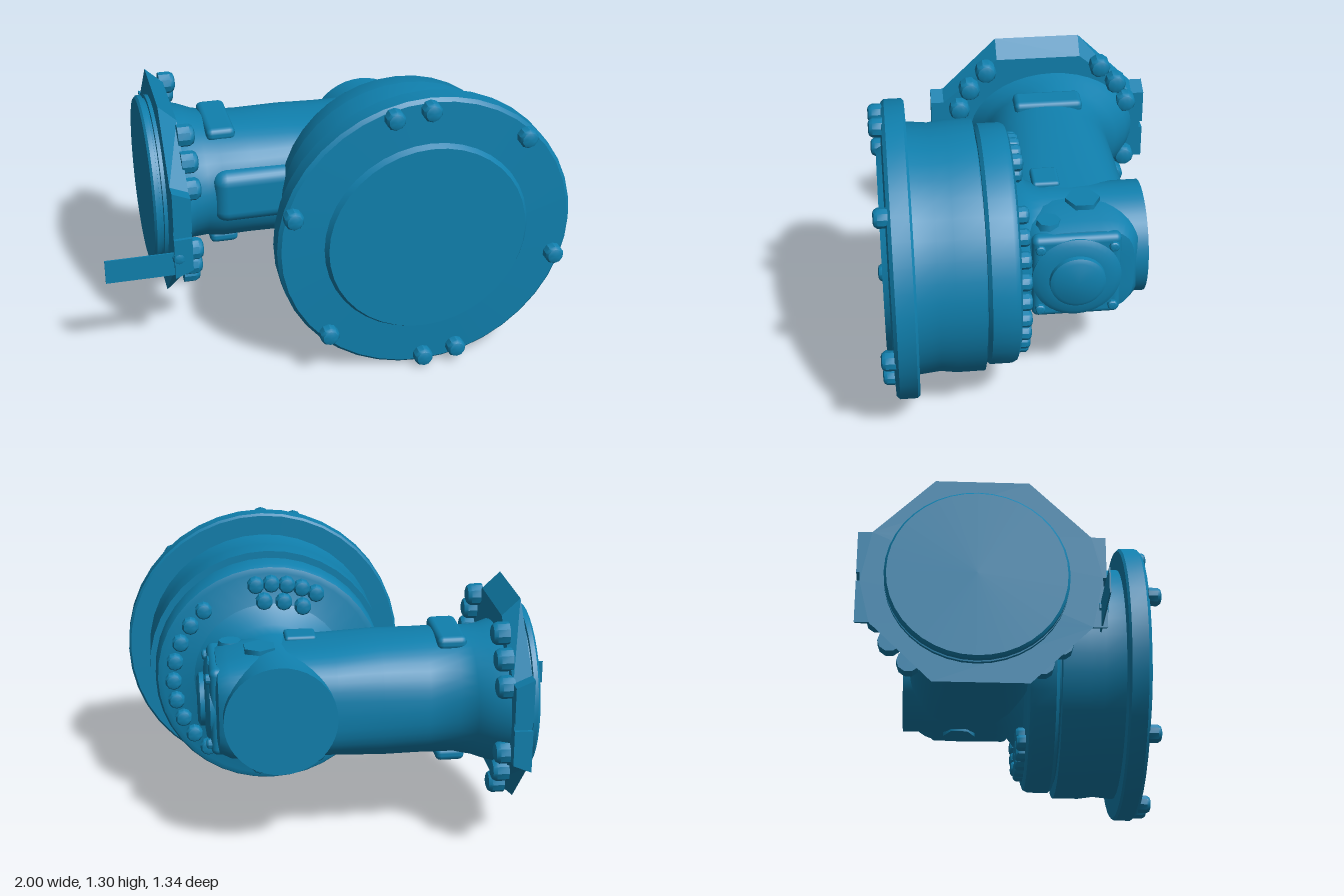
import * as THREE from 'three';
import { toCreasedNormals } from 'three/addons/utils/BufferGeometryUtils.js';
import { RoundedBoxGeometry } from 'three/addons/geometries/RoundedBoxGeometry.js';

const mat = new THREE.MeshStandardMaterial({ color: 0x1080ae });
const CX = 0.35, CY = 0.655, CZ = -0.17; // hub axis runs along z, tube axis along x

export function createModel() {
  const model = new THREE.Group();

  const add = (name, geo, x = 0, y = 0, z = 0, parent = model) => {
    const mesh = new THREE.Mesh(geo, mat);
    mesh.name = name;
    mesh.position.set(x, y, z);
    parent.add(mesh);
    return mesh;
  };
  const group = (name) => {
    const g = new THREE.Group();
    g.name = name;
    model.add(g);
    return g;
  };

  // Turned part from [radius, position] pairs, positions ascending along the axis
  const turned = (profile, axis, segments = 40) => {
    let geo = new THREE.LatheGeometry(profile.map(([r, t]) => new THREE.Vector2(r, t)), segments);
    geo = toCreasedNormals(geo, 0.6);
    if (axis === 'z') geo.rotateX(Math.PI / 2);
    if (axis === 'x') geo.rotateZ(-Math.PI / 2);
    return geo;
  };
  const boltGeo = (r, h, axis) =>
    turned([[0, 0], [r, 0], [r, h * 0.7], [r * 0.8, h * 0.92], [r * 0.5, h], [0, h]], axis, 10);

  // Hub: back ring, groove, drum and wide front flange
  add('hubBackRing', turned([
    [0, 0.06], [0.33, 0.06], [0.36, 0.08], [0.49, 0.08], [0.515, 0.09], [0.525, 0.11],
    [0.525, 0.205], [0.51, 0.22], [0.48, 0.22], [0.48, 0.235], [0, 0.235],
  ], 'z'), CX, CY);
  add('hubDrum', turned([
    [0, 0.23], [0.55, 0.23], [0.55, 0.35], [0.54, 0.42], [0.55, 0.52], [0, 0.52],
  ], 'z'), CX, CY);
  add('frontFlange', turned([
    [0, 0.515], [0.64, 0.515], [0.65, 0.525], [0.65, 0.6], [0.635, 0.615], [0.45, 0.622],
    [0.435, 0.645], [0, 0.645],
  ], 'z'), CX, CY);

  // Bolts on the front flange
  const frontBolts = group('frontFlangeBolts');
  const frontBolt = boltGeo(0.042, 0.06, 'z');
  for (const [x, y] of [[0.19, 1.24], [0.345, 1.26], [0.77, 1.09], [0.93, 0.5],
    [0.5, 0.075], [0.35, 0.05], [-0.08, 0.23], [-0.235, 0.83]]) {
    add('frontFlangeBolt', frontBolt, x, y, 0.61, frontBolts);
  }

  // Bolts on the back of the ring: one long arc and two double rows
  const ringBolts = group('ringBolts');
  const ringBolt = boltGeo(0.038, 0.05, 'z').rotateY(Math.PI);
  const arc = (radius, from, to, count) => {
    for (let i = 0; i < count; i++) {
      const a = THREE.MathUtils.degToRad(from + ((to - from) * i) / (count - 1));
      add('ringBolt', ringBolt, CX + radius * Math.cos(a), CY + radius * Math.sin(a), 0.085, ringBolts);
    }
  };
  arc(0.445, -48, 48, 9);
  for (const s of [1, -1]) {
    arc(0.445, s * 82, s * 118, 5);
    arc(0.365, s * 86, s * 114, 3);
  }

  // Gearcase tube lofted along x from [x, half height, front z, back z, squareness]
  const sections = [
    [-0.63, 0.31, 0.19, -0.62, 2], [-0.56, 0.295, 0.14, -0.58, 2], [-0.5, 0.285, 0.13, -0.52, 2],
    [-0.43, 0.28, 0.13, -0.462, 2.2], [-0.3, 0.272, 0.13, -0.458, 2.3], [-0.1, 0.268, 0.13, -0.458, 2.5],
    [0.1, 0.25, 0.13, -0.458, 2.8], [0.4, 0.24, 0.1, -0.46, 3.2], [0.56, 0.225, 0.07, -0.45, 3.6],
    [0.61, 0.205, 0.04, -0.42, 3.6], [0.62, 0.17, 0.01, -0.37, 3.6], [0.62, 0.001, -0.17, -0.171, 2],
  ];
  const N = 40, pos = [], idx = [];
  sections.forEach(([x, h, zf, zb, n], j) => {
    for (let i = 0; i < N; i++) {
      const a = (i / N) * Math.PI * 2, c = Math.cos(a), s = Math.sin(a);
      const sq = (v) => Math.sign(v) * Math.pow(Math.abs(v), 2 / n);
      pos.push(x, CY + h * sq(c), (zf + zb) / 2 + ((zf - zb) / 2) * sq(s));
      if (j > 0) {
        const k = (i + 1) % N, p = (j - 1) * N, q = j * N;
        idx.push(p + i, q + i, p + k, q + i, q + k, p + k);
      }
    }
  });
  const tube = new THREE.BufferGeometry();
  tube.setAttribute('position', new THREE.Float32BufferAttribute(pos, 3));
  // reverse the winding so that the faces look outward
  for (let i = 0; i < idx.length; i += 3) [idx[i + 1], idx[i + 2]] = [idx[i + 2], idx[i + 1]];
  tube.setIndex(idx);
  const a0 = new THREE.Vector3(pos[0], pos[1], pos[2]);
  const e1 = new THREE.Vector3(...pos.slice(idx[1] * 3, idx[1] * 3 + 3)).sub(a0);
  const e2 = new THREE.Vector3(...pos.slice(idx[2] * 3, idx[2] * 3 + 3)).sub(a0);
  if (e1.cross(e2).y < 0) tube.setIndex(idx.reverse());
  tube.computeVertexNormals();
  add('gearcaseTube', toCreasedNormals(tube, 0.7));

  // Round boss at the back of the gearcase, flaring into the hub
  add('backBoss', turned([
    [0, -0.485], [0.245, -0.485], [0.245, -0.05], [0.27, 0.01], [0.35, 0.07], [0, 0.07],
  ], 'z'), CX, CY);

  // Gusset joining the tube to the ring
  add('frontGusset', new RoundedBoxGeometry(0.4, 0.25, 0.14, 3, 0.06), -0.28, 0.675, 0.085);

  // Pads above and below the tube
  for (const s of [1, -1]) {
    add('tubePad', new RoundedBoxGeometry(0.13, 0.06, 0.32, 2, 0.025), -0.415, CY + s * 0.262, CZ);
    add('casePlug', new THREE.CylinderGeometry(0.075, 0.075, 0.05, 6), 0.42, CY + s * 0.23, -0.22);
  }
  add('caseStud', new THREE.CylinderGeometry(0.05, 0.06, 0.05, 8), 0.54, 0.86, -0.06);
  add('caseBlock', new RoundedBoxGeometry(0.14, 0.05, 0.12, 2, 0.015), 0.23, 0.89, -0.08);

  // End cover with round cap and corner bolts
  add('endCover', new RoundedBoxGeometry(0.07, 0.4, 0.38, 3, 0.03), 0.61, CY, CZ);
  add('endCap', turned([
    [0, 0.6], [0.19, 0.6], [0.19, 0.645], [0.165, 0.66], [0.12, 0.665], [0.118, 0.685],
    [0.1, 0.695], [0, 0.695],
  ], 'x'), 0, CY, CZ);
  const coverBolt = boltGeo(0.022, 0.025, 'x');
  for (const y of [-0.15, 0.15]) {
    for (const z of [-0.155, 0.155]) add('coverBolt', coverBolt, 0.64, CY + y, CZ + z);
  }

  // Eight-sided mounting flange with notched tabs, tapering in height toward the tube
  const half = [[0.2, 0.467], [0.46, 0.21], [0.52, 0.21], [0.52, 0.02], [0.505, 0.02]];
  const quarter = [...half, ...half.slice().reverse().map(([u, v]) => [u, -v])];
  const outline = [...quarter, ...quarter.map(([u, v]) => [-u, -v])];
  const plate = new THREE.ExtrudeGeometry(
    new THREE.Shape(outline.map(([u, v]) => new THREE.Vector2(u, v))), { depth: 0.08, bevelEnabled: false });
  const pp = plate.attributes.position;
  for (let i = 0; i < pp.count; i++) if (pp.getZ(i) > 0.04) pp.setY(i, pp.getY(i) * 0.84);
  plate.rotateY(Math.PI / 2);
  plate.computeVertexNormals();
  add('mountingFlange', plate, -0.7, CY, -0.15);
  add('mountingPilot', turned([
    [0, -0.76], [0.375, -0.76], [0.385, -0.75], [0.385, -0.73], [0.37, -0.728], [0.37, -0.718],
    [0.385, -0.716], [0.385, -0.69], [0, -0.69],
  ], 'x'), 0, CY, CZ);

  // Mounting bolts, three in each corner
  const mountBolts = group('mountingBolts');
  const mountBolt = boltGeo(0.05, 0.075, 'x');
  for (const s of [1, -1]) {
    for (const t of [1, -1]) {
      for (const [u, v] of [[0.275, 0.345], [0.355, 0.255], [0.405, 0.15]]) {
        add('mountingBolt', mountBolt, -0.63, CY + s * v, CZ + t * u, mountBolts);
      }
    }
  }

  // Thin flat tag reaching sideways, with its pin
  add('sideTag', new THREE.BoxGeometry(0.36, 0.112, 0.006), -0.82, 0.508, 0.346);
  add('tagPin', boltGeo(0.028, 0.04, 'z'), -0.68, 0.54, 0.335);

  return model;
}
